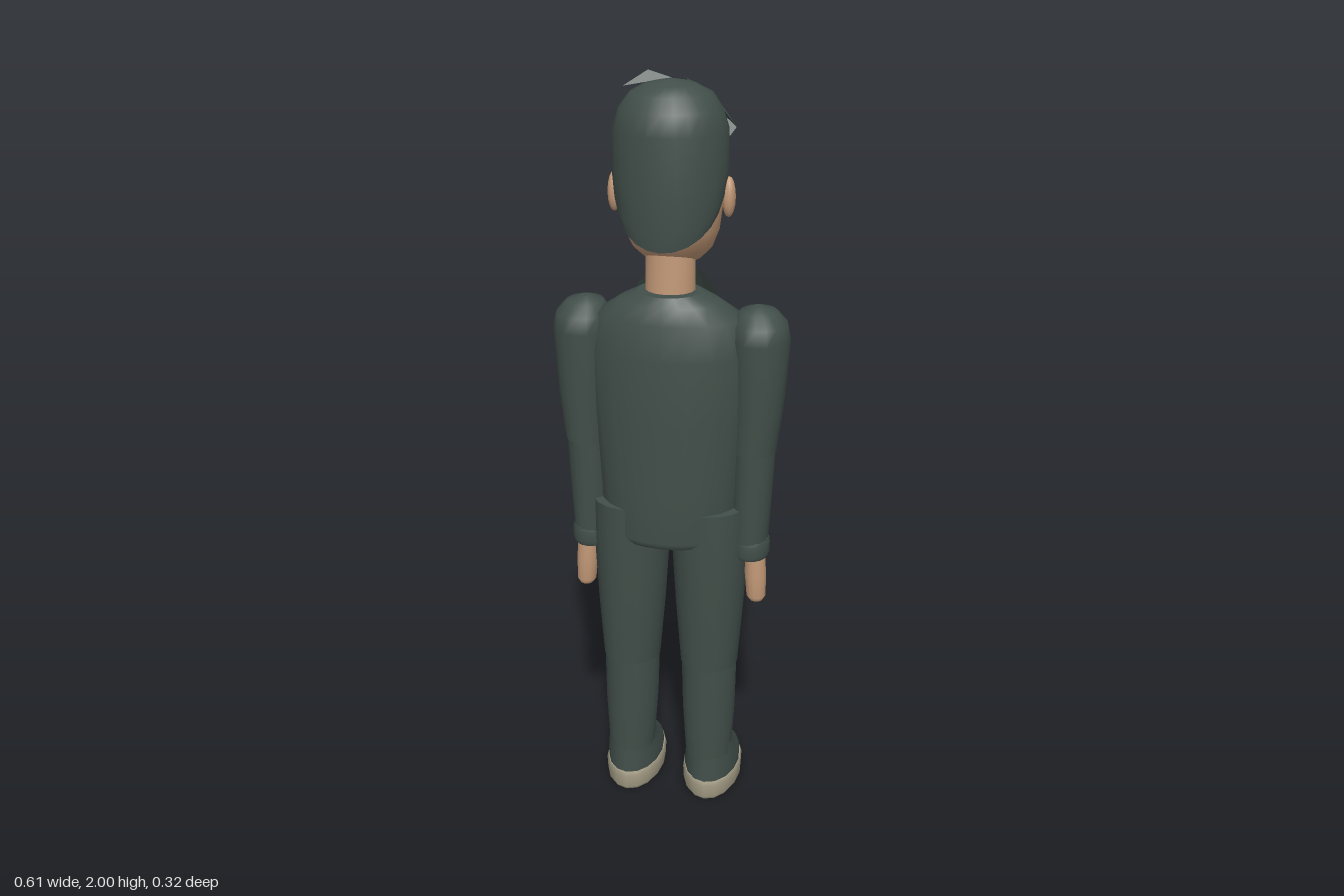
import * as THREE from 'three';

const mat = (name, color) => new THREE.MeshStandardMaterial({ name, color, side: THREE.DoubleSide });

export function createModel() {
  const root = new THREE.Group();
  root.name = 'standingFigure';
  const cloth = mat('dark green grey', 0x424f4a);
  const skin = mat('skin', 0xc49a78);
  const soleMat = mat('sole beige', 0xa59d86);
  const dark = mat('near black', 0x1c2423);
  const white = mat('eye white', 0xd6d0c2);
  const lip = mat('lip brown', 0x96604f);
  const grey = mat('button grey', 0x6b7570);

  function add(name, geo, material, parent = root) {
    const m = new THREE.Mesh(geo, material);
    m.name = name;
    parent.add(m);
    return m;
  }

  // Smooth closed skin through elliptical rings: [y, centreX, centreZ, radiusX, radiusZ], bottom to top
  function loft(rings, seg = 16, rule = null) {
    const pos = [], idx = [];
    const put = (r, j) => {
      const a = (j / seg) * Math.PI * 2;
      const y = rule ? rule(r[0], Math.sin(a)) : r[0];
      pos.push(r[1] + Math.cos(a) * r[3], y, r[2] + Math.sin(a) * r[4]);
    };
    rings.forEach((r) => { for (let j = 0; j < seg; j++) put(r, j); });
    for (let i = 0; i < rings.length - 1; i++) {
      for (let j = 0; j < seg; j++) {
        const a = i * seg + j, b = i * seg + ((j + 1) % seg);
        idx.push(a, a + seg, b, b, a + seg, b + seg);
      }
    }
    [rings[0], rings[rings.length - 1]].forEach((r, top) => {
      const s = pos.length / 3;
      for (let j = 0; j < seg; j++) put(r, j);
      pos.push(r[1], rule ? rule(r[0], 0) : r[0], r[2]);
      for (let j = 0; j < seg; j++) {
        const k = (j + 1) % seg;
        if (top) idx.push(s + seg, s + k, s + j);
        else idx.push(s + seg, s + j, s + k);
      }
    });
    const g = new THREE.BufferGeometry();
    g.setAttribute('position', new THREE.Float32BufferAttribute(pos, 3));
    g.setIndex(idx);
    g.computeVertexNormals();
    return g;
  }

  // Flat faceted scrap made as a fan of points
  function scrap(points) {
    const pos = [];
    for (let i = 1; i < points.length - 1; i++) pos.push(...points[0], ...points[i], ...points[i + 1]);
    const g = new THREE.BufferGeometry();
    g.setAttribute('position', new THREE.Float32BufferAttribute(pos, 3));
    g.computeVertexNormals();
    return g;
  }
  const flip = (points, s) => points.map(([x, y, z]) => [x * s, y, z]);

  // Torso
  add('torso', loft([
    [0.80, 0, 0.03, 0.165, 0.115], [0.82, 0, 0.03, 0.18, 0.128], [0.95, 0, 0.03, 0.185, 0.128],
    [1.15, 0, 0.03, 0.205, 0.13], [1.32, 0, 0.03, 0.215, 0.128], [1.41, 0, 0.035, 0.19, 0.112],
    [1.45, 0, 0.04, 0.13, 0.092], [1.475, 0, 0.045, 0.08, 0.076],
  ], 20), cloth);

  // Front placket with two rows of small buttons
  const placket = add('placket', new THREE.BoxGeometry(0.035, 0.5, 0.008), cloth);
  placket.position.set(0, 1.1, -0.101);
  for (let i = 0; i < 14; i++) {
    for (const x of [-0.022, 0.022]) {
      const b = add('button', new THREE.SphereGeometry(0.005, 6, 4), i % 2 ? grey : dark);
      b.position.set(x, 0.88 + i * 0.035, -0.104);
    }
  }

  // Neck and head
  add('neck', loft([[1.43, 0, 0.035, 0.064, 0.06], [1.6, 0, 0.033, 0.063, 0.058]]), skin);
  add('head', loft([
    [1.54, 0, -0.005, 0.045, 0.045], [1.55, 0, 0, 0.072, 0.066], [1.58, 0, 0.01, 0.1, 0.09],
    [1.63, 0, 0.022, 0.12, 0.108], [1.70, 0, 0.03, 0.13, 0.117], [1.80, 0, 0.03, 0.132, 0.119],
    [1.88, 0, 0.03, 0.12, 0.11], [1.94, 0, 0.03, 0.06, 0.06],
  ], 24), skin);

  // Hair cap: the lower edge sweeps up from the nape to the forehead
  const hairRule = (y, s) => (y >= 1.87 ? y : 1.87 - ((1.87 - y) * (1.87 - (1.705 - 0.11 * s))) / 0.27);
  add('hair', loft([
    [1.60, 0, 0.03, 0.128, 0.118], [1.64, 0, 0.03, 0.137, 0.123], [1.73, 0, 0.03, 0.143, 0.126],
    [1.87, 0, 0.03, 0.141, 0.126], [1.92, 0, 0.03, 0.125, 0.114], [1.955, 0, 0.03, 0.098, 0.092],
    [1.975, 0, 0.03, 0.06, 0.058], [1.985, 0, 0.03, 0.01, 0.01],
  ], 24, hairRule), cloth);

  // Loose locks
  [
    [[0.02, 1.985, -0.01], [0.1, 1.935, -0.01], [0.135, 1.85, -0.11], [0.07, 1.93, -0.135]],
    [[0.07, 1.93, -0.135], [0.135, 1.85, -0.11], [0.1, 1.80, -0.085]],
    [[-0.02, 1.985, -0.01], [-0.13, 1.9, -0.03], [-0.11, 1.83, -0.09], [-0.065, 1.93, -0.145]],
    [[-0.02, 1.985, -0.01], [-0.065, 1.93, -0.145], [0.025, 1.88, -0.105]],
    [[-0.065, 1.93, -0.145], [-0.085, 1.775, -0.098], [-0.015, 1.85, -0.1]],
    [[0.0, 1.92, -0.085], [0.07, 1.9, -0.09], [0.03, 1.785, -0.105]],
    [[-0.115, 1.965, 0.035], [-0.07, 1.99, 0.0], [0.0, 1.985, 0.015], [-0.06, 2.0, 0.008]],
  ].forEach((p) => add('hairLock', scrap(p), cloth));

  // Face plates follow the curve of the head
  const faceZ = (x, lift) => 0.03 - 0.118 * Math.sqrt(1 - (x / 0.132) ** 2) - lift;
  const plate = (name, pts, m, lift) => add(name, scrap(pts.map(([x, y]) => [x, y, faceZ(x, lift)])), m);
  const oval = (cx, cy, rx, ry) => Array.from({ length: 10 }, (_, i) => {
    const a = (i / 10) * Math.PI * 2;
    return [cx + Math.cos(a) * rx, cy + Math.sin(a) * ry];
  });
  for (const s of [-1, 1]) {
    plate('eyeWhite', oval(s * 0.05, 1.722, 0.022, 0.011), white, 0.003);
    plate('iris', oval(s * 0.049, 1.722, 0.01, 0.011), dark, 0.006);
    plate('upperLid', [[s * 0.024, 1.728], [s * 0.05, 1.738], [s * 0.078, 1.726], [s * 0.05, 1.731]], dark, 0.007);
    plate('brow', [[s * 0.022, 1.757], [s * 0.055, 1.77], [s * 0.086, 1.757], [s * 0.055, 1.782], [s * 0.022, 1.772]], dark, 0.007);
    add('cheekPlate', scrap(flip([[0.06, 1.685, -0.086], [0.088, 1.68, -0.07], [0.08, 1.635, -0.07], [0.055, 1.645, -0.088]], s)), skin);
    // Ears
    const ear = add('ear', new THREE.SphereGeometry(1, 10, 8), skin);
    ear.scale.set(0.017, 0.05, 0.024);
    ear.position.set(s * 0.142, 1.71, 0.025);
  }
  plate('mouth', [[-0.03, 1.607], [0, 1.612], [0.03, 1.607], [0, 1.596]], lip, 0.001);
  plate('mouthLine', [[-0.03, 1.607], [0, 1.609], [0.03, 1.607], [0, 1.604]], dark, 0.004);
  // Nose wedge
  const bridge = [0, 1.735, -0.087], tip = [0, 1.665, -0.133], base = [0, 1.65, -0.088];
  const wingL = [-0.02, 1.655, -0.084], wingR = [0.02, 1.655, -0.084];
  [[bridge, wingL, tip], [bridge, tip, wingR], [tip, wingL, base], [tip, base, wingR]]
    .forEach((p) => add('nose', scrap(p), skin));

  for (const s of [-1, 1]) {
    const side = new THREE.Group();
    side.name = s > 0 ? 'leftSide' : 'rightSide';
    root.add(side);

    // Sleeve, cuff and hand
    add('upperSleeve', loft([
      [1.06, s * 0.222, 0.035, 0.056, 0.066], [1.2, s * 0.228, 0.033, 0.066, 0.074],
      [1.36, s * 0.228, 0.03, 0.076, 0.086], [1.4, s * 0.226, 0.03, 0.07, 0.079],
      [1.43, s * 0.222, 0.03, 0.047, 0.053], [1.442, s * 0.22, 0.03, 0.012, 0.014],
    ]), cloth, side);
    add('lowerSleeve', loft([
      [0.79, s * 0.215, 0.033, 0.046, 0.056], [0.95, s * 0.218, 0.034, 0.052, 0.061],
      [1.08, s * 0.221, 0.035, 0.055, 0.064],
    ]), cloth, side);
    add('cuff', loft([
      [0.757, s * 0.217, 0.033, 0.046, 0.054], [0.768, s * 0.217, 0.033, 0.05, 0.059],
      [0.798, s * 0.217, 0.033, 0.05, 0.059], [0.81, s * 0.217, 0.033, 0.046, 0.055],
    ]), cloth, side);
    add('hand', loft([
      [0.622, s * 0.235, 0.035, 0.018, 0.019], [0.635, s * 0.234, 0.035, 0.026, 0.026],
      [0.7, s * 0.231, 0.035, 0.029, 0.03], [0.77, s * 0.228, 0.035, 0.027, 0.027],
    ], 12), skin, side);

    // Trouser leg
    add('thigh', loft([
      [0.42, s * 0.108, 0.032, 0.078, 0.086], [0.6, s * 0.107, 0.028, 0.092, 0.102],
      [0.78, s * 0.106, 0.026, 0.102, 0.111], [0.9, s * 0.106, 0.025, 0.104, 0.113],
    ]), cloth, side);
    add('shin', loft([
      [0.13, s * 0.11, 0.04, 0.064, 0.068], [0.28, s * 0.109, 0.036, 0.073, 0.079],
      [0.43, s * 0.108, 0.033, 0.076, 0.084],
    ]), cloth, side);

    // Shoe
    add('shoeUpper', loft([
      [0.05, s * 0.112, -0.014, 0.076, 0.128], [0.085, s * 0.112, -0.012, 0.076, 0.124],
      [0.115, s * 0.112, 0.004, 0.072, 0.105], [0.145, s * 0.111, 0.027, 0.067, 0.08],
      [0.18, s * 0.11, 0.038, 0.065, 0.07],
    ]), cloth, side);
    add('shoeSole', loft([
      [0, s * 0.112, -0.018, 0.072, 0.128], [0.012, s * 0.112, -0.018, 0.08, 0.137],
      [0.05, s * 0.112, -0.018, 0.082, 0.139], [0.06, s * 0.112, -0.018, 0.078, 0.135],
    ]), soleMat, side);

    // Collar flap and ragged cloth scraps
    [
      ['collar', [[0.05, 1.515, -0.035], [0.105, 1.455, -0.045], [0.085, 1.365, -0.112], [0.015, 1.42, -0.1]]],
      ['chestScrap', [[0.11, 1.275, -0.1], [0.185, 1.235, -0.075], [0.13, 1.225, -0.112]]],
      ['waistScrap', [[0.15, 1.09, -0.08], [0.165, 1.06, -0.075], [0.1, 1.025, -0.105], [0.095, 1.055, -0.105]]],
      ['hipScrap', [[0.115, 1.01, -0.09], [0.16, 0.985, -0.075], [0.135, 0.9, -0.098]]],
      ['sleeveScrap', [[0.19, 0.99, -0.03], [0.265, 0.97, -0.02], [0.225, 0.96, -0.06]]],
      ['kneeScrap', [[0.07, 0.425, -0.05], [0.155, 0.425, -0.04], [0.13, 0.385, -0.085]]],
    ].forEach(([name, p]) => add(name, scrap(flip(p, s)), cloth, side));
  }
  return root;
}
